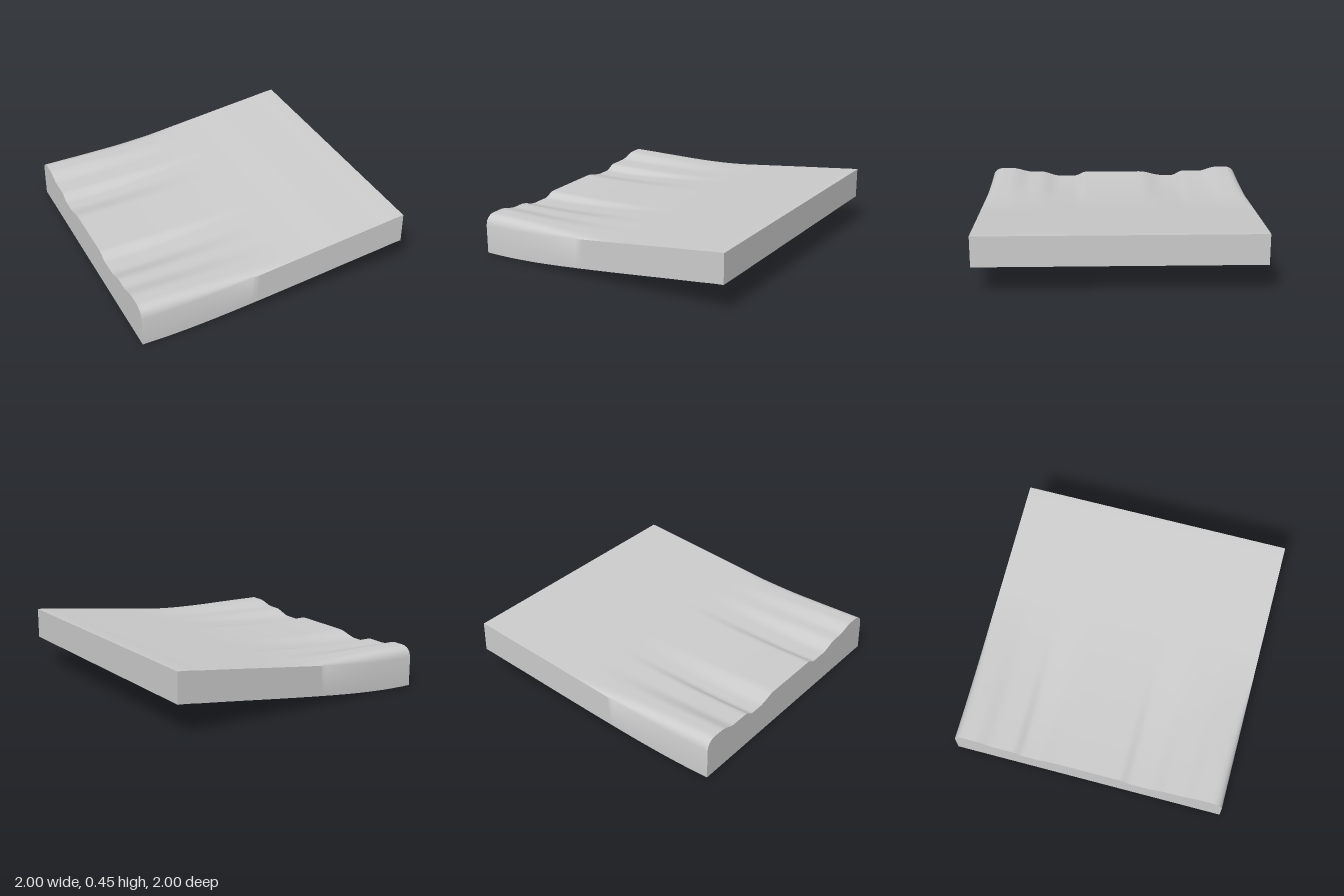
import * as THREE from 'three';
import { toCreasedNormals } from 'three/addons/utils/BufferGeometryUtils.js';

const THICK = 0.22;
const step = (v, mid, half) => THREE.MathUtils.smoothstep(v, mid - half, mid + half);

// Height of the underside along x: a gentle ramp, level at the low end
const ramp = new THREE.SplineCurve([
  [-1, 0], [-0.8, 0.006], [-0.6, 0.02], [-0.4, 0.04], [-0.2, 0.064], [0, 0.09],
  [0.2, 0.117], [0.4, 0.145], [0.6, 0.173], [0.8, 0.2], [1, 0.226],
].map(([x, y]) => new THREE.Vector2(x, y)));
const bottomY = (x) => ramp.getPoint((x + 1) / 2).y;

// Steps across the slab at its low end: [z, half width, change in height]
const steps = [
  [-0.77, 0.07, -0.034], [-0.52, 0.04, -0.035], [-0.3, 0.09, 0.033],
  [0.28, 0.045, -0.032], [0.53, 0.08, 0.037], [0.76, 0.08, 0.031],
];
function relief(z) {
  let h = 0.069;
  for (const [mid, half, rise] of steps) h += rise * step(z, mid, half);
  // rounded shoulders along the two sides
  const u = Math.min(1, (1 - Math.abs(z)) / 0.08);
  return h - 0.075 * (1 - Math.sqrt(1 - (1 - u) ** 2));
}
const fade = (x) => 1 - THREE.MathUtils.smoothstep(x, -0.9, 0.2);
const topY = (x, z) => bottomY(x) + THICK + fade(x) * relief(z);

// Sample positions, with extra rows at the shoulders
const xs = Array.from({ length: 65 }, (_, i) => -1 + i / 32);
const zs = Array.from({ length: 97 }, (_, i) => -0.96 + i * 0.02);
zs.unshift(-1, -0.99, -0.975);
zs.push(0.975, 0.99, 1);

// Adds a grid of quads; flip reverses the facing
function addGrid(out, us, vs, point, flip) {
  for (let i = 0; i < us.length - 1; i++) {
    for (let j = 0; j < vs.length - 1; j++) {
      const a = point(us[i], vs[j]), b = point(us[i + 1], vs[j]);
      const c = point(us[i + 1], vs[j + 1]), d = point(us[i], vs[j + 1]);
      const quad = flip ? [a, c, b, a, d, c] : [a, b, c, a, c, d];
      for (const p of quad) out.push(...p);
    }
  }
}

export function createModel() {
  const group = new THREE.Group();
  group.name = 'rippledSlab';
  const grey = new THREE.MeshStandardMaterial({ color: 0xcccccc });
  grey.name = 'light grey';

  const pos = [];
  const wall = (x, z, v) => [x, v ? topY(x, z) : bottomY(x), z];
  addGrid(pos, xs, zs, (x, z) => [x, topY(x, z), z], true); // top
  addGrid(pos, xs, zs, (x, z) => [x, bottomY(x), z], false); // underside
  for (const s of [-1, 1]) {
    addGrid(pos, xs, [0, 1], (x, v) => wall(x, s, v), s < 0); // front and back walls
    addGrid(pos, zs, [0, 1], (z, v) => wall(s, z, v), s > 0); // end walls
  }

  const geometry = new THREE.BufferGeometry();
  geometry.setAttribute('position', new THREE.Float32BufferAttribute(pos, 3));
  const slab = new THREE.Mesh(toCreasedNormals(geometry, 0.84), grey);
  slab.name = 'slab';
  group.add(slab);
  return group;
}
